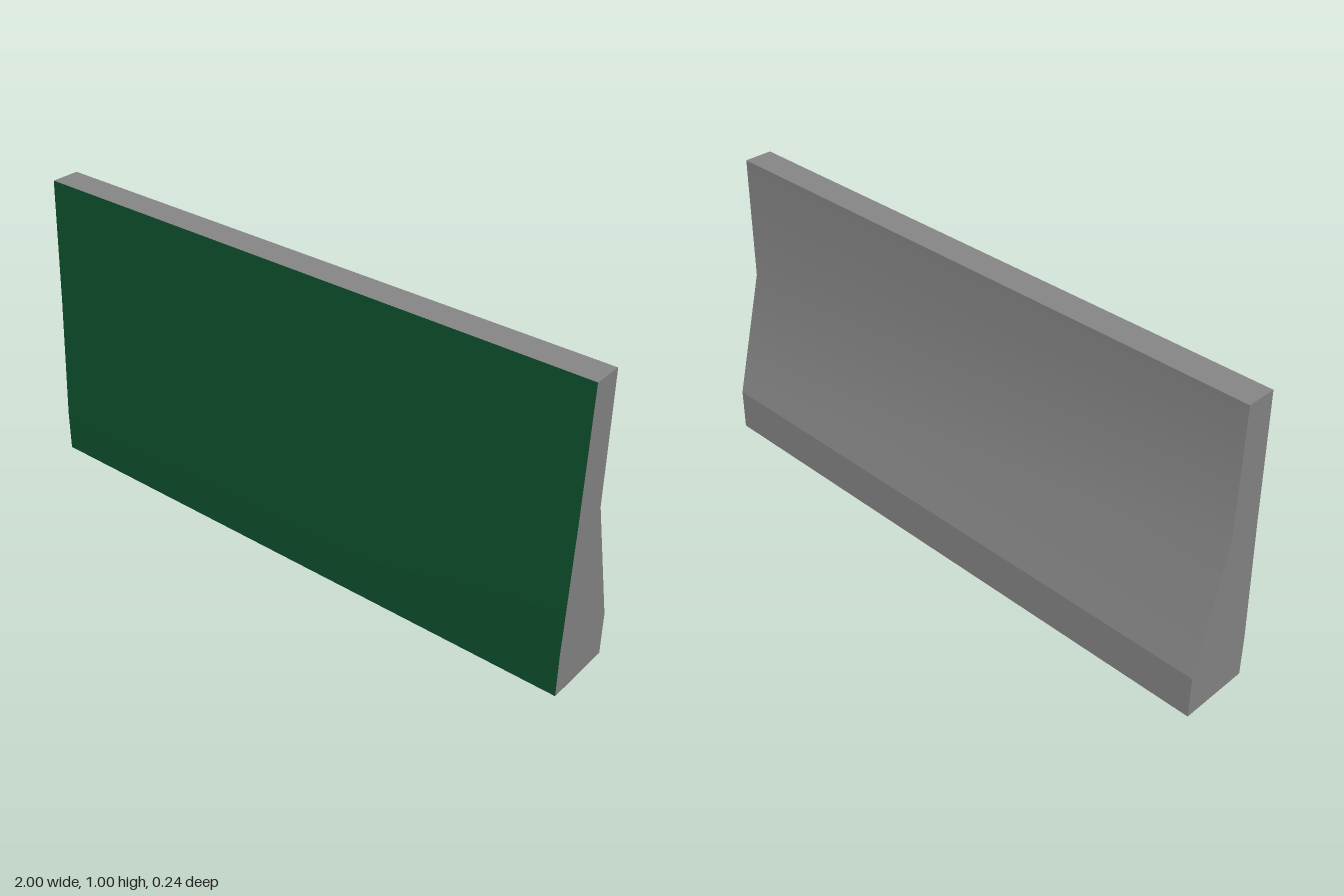
import * as THREE from 'three';

// Cross-section points as [z, y]
const front = [[0.12, 0], [0.12, 0.14], [0.1, 0.575], [0.086, 1]];
const back = [[-0.012, 1], [-0.012, 0.575], [-0.12, 0.145], [-0.12, 0]];

// Smooth strip along x through a run of cross-section points
function strip(points) {
  const positions = [];
  const index = [];
  points.forEach(([z, y], i) => {
    positions.push(-1, y, z, 1, y, z);
    if (i > 0) {
      const a = 2 * (i - 1);
      index.push(a, a + 1, a + 3, a, a + 3, a + 2);
    }
  });
  const geometry = new THREE.BufferGeometry();
  geometry.setAttribute('position', new THREE.Float32BufferAttribute(positions, 3));
  geometry.setIndex(index);
  geometry.computeVertexNormals();
  return geometry;
}

// Flat end cap; side is +1 or -1 along x
function endCap(side) {
  const outline = [...front, ...back].map(([z, y]) => new THREE.Vector2(-side * z, y));
  const geometry = new THREE.ShapeGeometry(new THREE.Shape(outline));
  geometry.rotateY(side * Math.PI / 2);
  geometry.translate(side, 0, 0);
  return geometry;
}

export function createModel() {
  const concrete = new THREE.MeshStandardMaterial({ color: 0x888888 });
  concrete.name = 'concrete grey';
  const green = new THREE.MeshStandardMaterial({ color: 0x0e502d });
  green.name = 'dark green';

  const group = new THREE.Group();
  group.name = 'barrier';
  const add = (name, geometry, material) => {
    const mesh = new THREE.Mesh(geometry, material);
    mesh.name = name;
    group.add(mesh);
  };

  // Painted front and bare concrete around it
  add('frontFace', strip(front), green);
  add('topFace', strip([front[3], back[0]]), concrete);
  add('backSlope', strip(back.slice(0, 3)), concrete);
  add('backFoot', strip(back.slice(2)), concrete);
  add('underside', strip([back[3], front[0]]), concrete);

  // Ends
  add('leftEnd', endCap(1), concrete);
  add('rightEnd', endCap(-1), concrete);
  return group;
}
